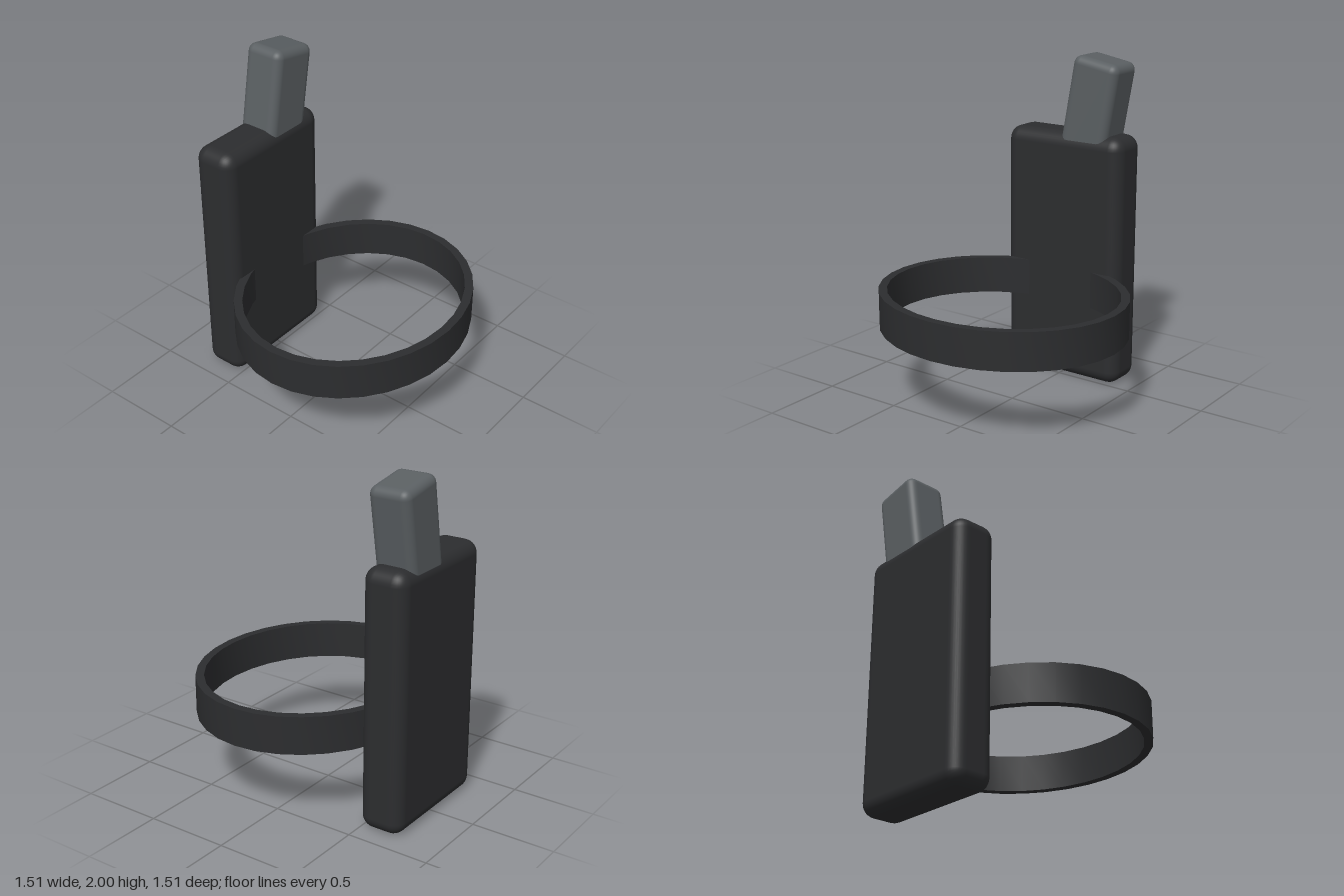
import * as THREE from 'three';
import { RoundedBoxGeometry } from 'three/addons/geometries/RoundedBoxGeometry.js';
import { toCreasedNormals } from 'three/addons/utils/BufferGeometryUtils.js';

const dark = new THREE.MeshStandardMaterial({ color: 0x2c2d2f });
const grey = new THREE.MeshStandardMaterial({ color: 0x5a5f62 });

function addPart(group, name, geometry, material, x, y, z) {
  const mesh = new THREE.Mesh(geometry, material);
  mesh.name = name;
  mesh.position.set(x, y, z);
  group.add(mesh);
  return mesh;
}

export function createModel() {
  const group = new THREE.Group();
  group.name = 'strappedHolder';

  // Flat upright case with rounded edges
  addPart(group, 'case', new RoundedBoxGeometry(0.27, 1.535, 0.81, 4, 0.08), dark, -0.625, 0.7675, 0);

  // Handle leaning backwards out of the top of the case
  const handle = addPart(group, 'handle', new RoundedBoxGeometry(0.25, 0.7, 0.308, 4, 0.05), grey, -0.625, 1.636, -0.16);
  handle.rotation.x = -0.175;

  // Oval strap, its left end sunk into the case
  const oval = new THREE.Shape();
  oval.absellipse(0, 0, 0.665, 0.757, 0, Math.PI * 2);
  const hole = new THREE.Path();
  hole.absellipse(0, 0, 0.615, 0.707, 0, Math.PI * 2, true);
  oval.holes.push(hole);
  const band = new THREE.ExtrudeGeometry(oval, { depth: 0.225, bevelEnabled: false, curveSegments: 16 });
  band.rotateX(-Math.PI / 2);
  addPart(group, 'strap', toCreasedNormals(band, 0.7), dark, 0.09, 0.48, 0);

  return group;
}
